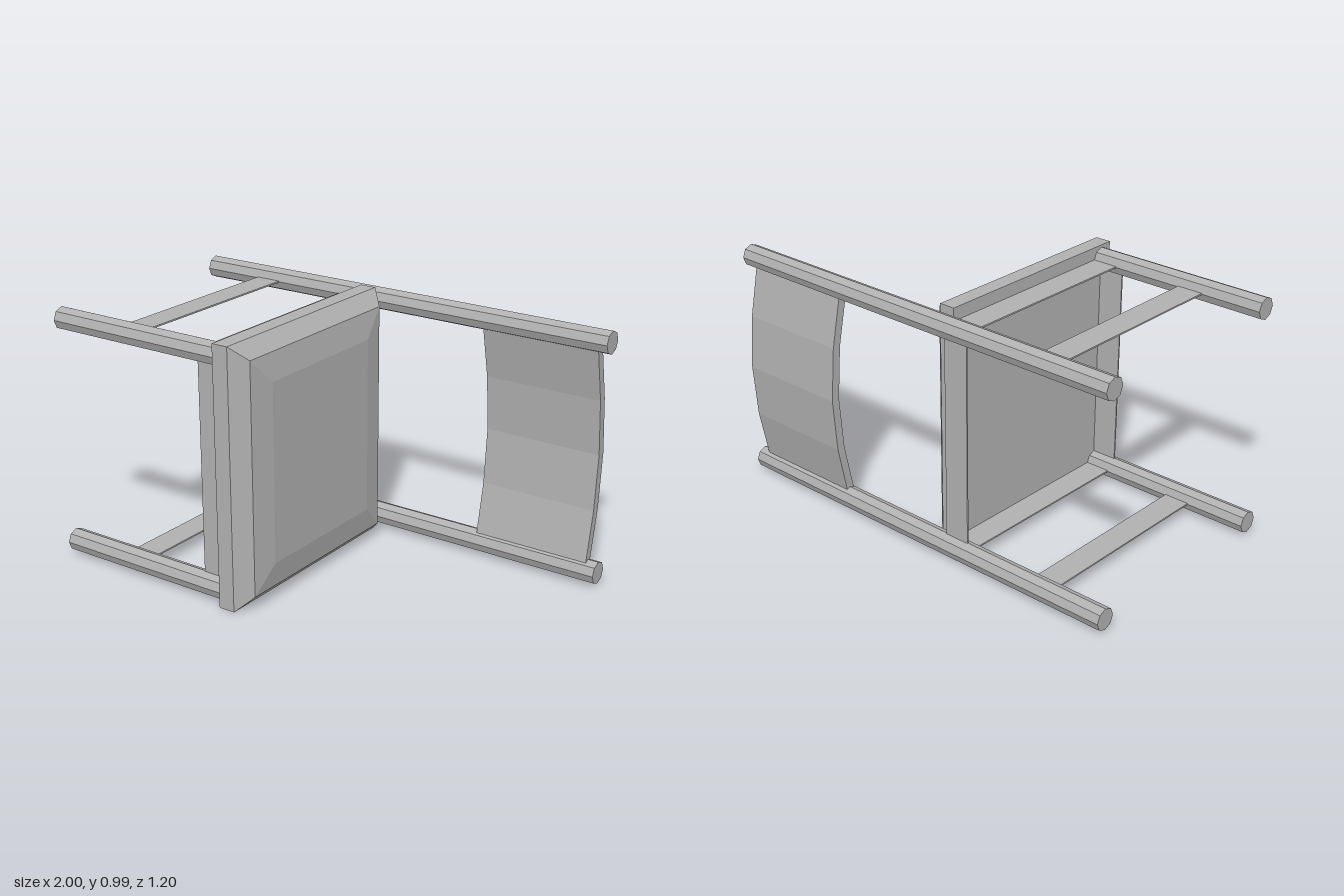
import * as THREE from 'three';

// The chair lies on its side: its height runs along local x, its width along y, its depth along z (front +z).
const MID = 0.495;          // middle of the chair's width
const LEG = 0.442;          // legs' distance from the middle
const BACK_Z = -0.283, FRONT_Z = 0.596;

const grey = new THREE.MeshStandardMaterial({ color: 0xb0b0b0 });
grey.name = 'grey';

function facet(geometry) {
  const g = geometry.index ? geometry.toNonIndexed() : geometry;
  g.computeVertexNormals();
  return g;
}

function part(name, geometry, x, y, z) {
  const mesh = new THREE.Mesh(facet(geometry), grey);
  mesh.name = name;
  mesh.position.set(x, y, z);
  return mesh;
}

// Octagonal leg from x0 to x1
function leg(name, x0, x1, y, z) {
  const g = new THREE.CylinderGeometry(0.0435, 0.0435, x1 - x0, 8).rotateZ(-Math.PI / 2);
  return part(name, g, (x0 + x1) / 2, y, z);
}

// Seat slab with a bevelled cushion, lofted through rectangular rings
function seatGeometry() {
  const rings = [[-0.077, 0], [-0.012, 0], [0.043, 0.053], [0.06, 0.153]]; // height, inset
  const pos = [], idx = [];
  for (const [x, i] of rings) {
    const z0 = -0.237 + i, z1 = 0.647 - i, y0 = i, y1 = 2 * MID - i;
    pos.push(x, y0, z0, x, y1, z0, x, y1, z1, x, y0, z1);
  }
  for (let r = 0; r < rings.length - 1; r++) {
    for (let k = 0; k < 4; k++) {
      const a = r * 4 + k, b = r * 4 + (k + 1) % 4;
      idx.push(a, b, b + 4, a, b + 4, a + 4);
    }
  }
  const t = (rings.length - 1) * 4;
  idx.push(t, t + 1, t + 2, t, t + 2, t + 3, 0, 2, 1, 0, 3, 2);
  const g = new THREE.BufferGeometry();
  g.setAttribute('position', new THREE.Float32BufferAttribute(pos, 3));
  g.setIndex(idx);
  return g;
}

// Backrest bowed rearwards in four flat panels
function backrestGeometry() {
  const bow = [[-0.408, 0.298], [-0.213, 0.338], [0, 0.355], [0.213, 0.338], [0.408, 0.298]];
  const rear = bow.map(([y, d]) => new THREE.Vector2(d, y));
  const front = bow.map(([y, d]) => new THREE.Vector2(d - 0.034, y)).reverse();
  const shape = new THREE.Shape([...rear, ...front]);
  return new THREE.ExtrudeGeometry(shape, { depth: 0.462, bevelEnabled: false }).rotateY(Math.PI / 2);
}

export function createModel() {
  const model = new THREE.Group();
  model.name = 'chair';
  const chair = new THREE.Group();
  chair.name = 'lyingChair';
  chair.rotation.y = -0.379;
  model.add(chair);

  chair.add(part('seat', seatGeometry(), 0, 0, 0));
  chair.add(part('backrest', backrestGeometry(), 0.444, MID, 0));

  const depth = FRONT_Z - BACK_Z, midZ = (FRONT_Z + BACK_Z) / 2;
  for (const [side, s] of [['left', 1], ['right', -1]]) {
    const y = MID + s * LEG;
    chair.add(leg(side + 'BackLeg', -0.823, 0.948, y, BACK_Z));
    chair.add(leg(side + 'FrontLeg', -0.823, -0.077, y, FRONT_Z));
    // Thin side rails: one under the seat, one lower down
    chair.add(part(side + 'Apron', new THREE.BoxGeometry(0.105, 0.006, depth), -0.129, y, midZ));
    chair.add(part(side + 'Stretcher', new THREE.BoxGeometry(0.105, 0.006, depth), -0.522, y, midZ));
  }
  // Thin rails under the seat at front and back
  for (const [name, z] of [['frontApron', FRONT_Z], ['backApron', BACK_Z]]) {
    chair.add(part(name, new THREE.BoxGeometry(0.105, 2 * LEG, 0.006), -0.129, MID, z));
  }
  return model;
}
